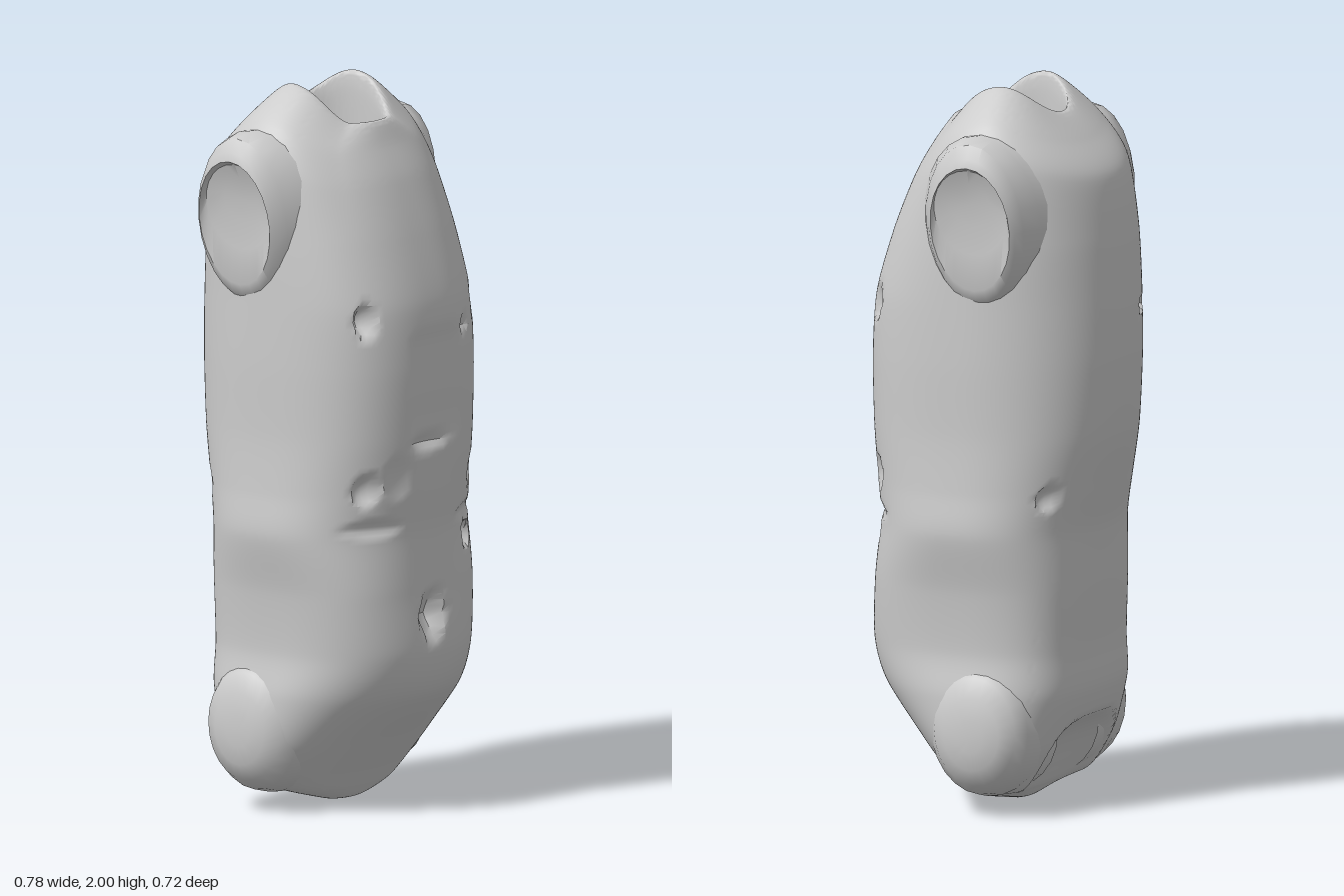
import * as THREE from 'three';
import { toCreasedNormals } from 'three/addons/utils/BufferGeometryUtils.js';

const material = new THREE.MeshStandardMaterial({ color: 0xcccccc, side: THREE.DoubleSide });

// Skin a grid of points: rows of rings, each ring closed on itself
function skin(rows, segs, point, crease) {
  const pos = [], index = [];
  for (let r = 0; r <= rows; r++)
    for (let s = 0; s < segs; s++) pos.push(...point(r / rows, (s / segs) * Math.PI * 2));
  for (let r = 0; r < rows; r++)
    for (let s = 0; s < segs; s++) {
      const a = r * segs + s, b = r * segs + (s + 1) % segs;
      index.push(a, a + segs, b, b, a + segs, b + segs);
    }
  const geometry = new THREE.BufferGeometry();
  geometry.setAttribute('position', new THREE.Float32BufferAttribute(pos, 3));
  geometry.setIndex(index);
  return toCreasedNormals(geometry, crease);
}

// Torso sections from the crotch to the neck rim, then down into the neck hole:
// height, half width, front z, back z, extra height at the sides, front and back squareness
const SECTIONS = [
  [0, 0, -0.02, -0.03, 0, 2, 2], [0.012, 0.1, 0.06, -0.1, 0.01, 2, 2.2],
  [0.045, 0.23, 0.095, -0.165, 0.015, 2, 2.5], [0.1, 0.29, 0.135, -0.2, 0.01, 2, 2.6],
  [0.19, 0.33, 0.21, -0.24, 0, 2, 2.8], [0.33, 0.33, 0.33, -0.28, 0, 2.1, 3],
  [0.45, 0.313, 0.36, -0.28, 0, 2.5, 3.2], [0.62, 0.324, 0.345, -0.285, 0, 2.8, 3],
  [0.78, 0.353, 0.335, -0.29, 0, 2.3, 2.5], [0.9, 0.342, 0.345, -0.315, 0, 2.4, 2.4],
  [1.05, 0.333, 0.355, -0.345, 0, 2.6, 2.3], [1.25, 0.333, 0.36, -0.36, 0, 2.6, 2.2],
  [1.42, 0.33, 0.347, -0.358, 0, 2.6, 2.2], [1.6, 0.325, 0.293, -0.345, 0, 2.5, 2.2],
  [1.75, 0.312, 0.234, -0.315, 0.06, 2.3, 2.1], [1.84, 0.265, 0.185, -0.24, 0.07, 2.2, 2.1],
  [1.9, 0.145, 0.152, -0.17, 0.1, 2.2, 2.1], [1.885, 0.122, 0.135, -0.155, 0.08, 2.2, 2.1],
  [1.75, 0.118, 0.13, -0.145, 0, 2.2, 2.1], [1.62, 0.09, 0.1, -0.11, 0, 2.2, 2.1],
  [1.6, 0, -0.01, -0.011, 0, 2.2, 2.1],
];
const curve = (pick) => new THREE.CatmullRomCurve3(
  SECTIONS.map((s) => new THREE.Vector3(...pick.map((i) => s[i]))), false, 'catmullrom', 0.4);
const widthCurve = curve([0, 1, 4]);
const depthCurve = curve([2, 3]);
const squareCurve = curve([5, 6]);

// Dents: x, y, side (1 front, -1 back), half width, half height, depth, squareness
const DENTS = [
  [-0.015, 0.55, 1, 0.06, 0.1, 0.06, 1.2],
  [0, 1.19, 1, 0.11, 0.17, 0.012, 6],
  [-0.03, 1.035, 1, 0.09, 0.025, 0.02, 2],
  [-0.14, 0.95, 1, 0.05, 0.07, 0.01, 2],
  [0.19, 0.745, 1, 0.03, 0.04, 0.035, 2],
  [0.13, 1.34, 1, 0.02, 0.025, 0.02, 2],
  [-0.14, 1.38, -1, 0.045, 0.022, 0.035, 2],
  [0, 0.11, -1, 0.19, 0.15, 0.06, 3],
];
for (const side of [-1, 1]) {
  DENTS.push([side * 0.228, 1.39, 1, 0.028, 0.05, 0.04, 2]);
  DENTS.push([side * 0.225, 0.92, 1, 0.035, 0.05, 0.03, 2]);
  DENTS.push([side * 0.2, 0.81, 1, 0.09, 0.025, 0.015, 2]);
  DENTS.push([side * 0.24, 0.89, -1, 0.03, 0.04, 0.025, 2]);
}

function dentDepth(x, y, z) {
  let depth = 0;
  for (const [dx, dy, side, rx, ry, d, p] of DENTS) {
    if (z * side <= 0) continue;
    const q = Math.abs((x - dx) / rx) ** p + Math.abs((y - dy) / ry) ** p;
    if (q < 1) depth += side * d * (1 - q);
  }
  return depth * Math.min(1, Math.abs(z) / 0.15);
}

const softPower = (v, p) => Math.sign(v) * Math.abs(v) ** p;

// The neck rim peaks a little behind its middle
function torsoPoint(t, angle) {
  const a = widthCurve.getPoint(t), b = depthCurve.getPoint(t), q = squareCurve.getPoint(t);
  const c = Math.cos(angle), s = Math.sin(angle);
  const power = 2 / (s > 0 ? q.x : q.y);
  const y = Math.max(0, a.x + a.z * Math.max(0, 1 - (s + 0.2) ** 2) ** 1.5);
  const mid = (b.x + b.y) / 2, half = (b.x - b.y) / 2;
  const x = Math.max(0, a.y) * softPower(c, power);
  const z = mid + half * softPower(s, power);
  return [x, y, t < 0.7 ? z - dentDepth(x, y, z) : z];
}

// Limb joint: rings growing outward along x, closed by a cap or a dished socket.
// Each ring: x, centre y, centre z, y radius, z radius
function joint(rings, slant) {
  const n = rings.length - 1, centreY = rings[0][1];
  const geometry = skin(n, 24, (t, angle) => {
    const [x, cy, cz, ry, rz] = rings[Math.round(t * n)];
    const y = cy + ry * Math.sin(angle);
    return [x + slant * (y - centreY), y, cz + rz * Math.cos(angle)];
  }, 0.7);
  return new THREE.Mesh(geometry, material);
}

const SHOULDER = [
  [0.16, 1.64, -0.05, 0.25, 0.22], [0.265, 1.645, -0.055, 0.25, 0.182],
  [0.325, 1.645, -0.06, 0.235, 0.15], [0.354, 1.64, -0.065, 0.205, 0.133],
  [0.364, 1.645, -0.065, 0.175, 0.122], [0.346, 1.69, -0.06, 0.12, 0.112],
  [0.336, 1.71, -0.055, 0.06, 0.06], [0.334, 1.71, -0.055, 0, 0],
];
const HIP = [
  [0.12, 0.22, -0.05, 0.17, 0.16], [0.23, 0.235, -0.05, 0.19, 0.165],
  [0.29, 0.24, -0.055, 0.18, 0.15], [0.328, 0.24, -0.06, 0.15, 0.125],
  [0.35, 0.235, -0.06, 0.1, 0.085], [0.358, 0.23, -0.06, 0.045, 0.04],
  [0.359, 0.23, -0.06, 0, 0],
];

export function createModel() {
  const model = new THREE.Group();
  model.name = 'torso';

  const body = new THREE.Mesh(skin((SECTIONS.length - 1) * 10, 128, torsoPoint, 0.7), material);
  body.name = 'body';
  model.add(body);

  // Shoulders and hips, mirrored
  for (const [side, label] of [[1, 'left'], [-1, 'right']]) {
    const shoulder = joint(SHOULDER, 0.14);
    const hip = joint(HIP, 0);
    shoulder.name = label + 'Shoulder';
    hip.name = label + 'Hip';
    for (const part of [shoulder, hip]) {
      part.scale.x = side;
      model.add(part);
    }
  }
  return model;
}
